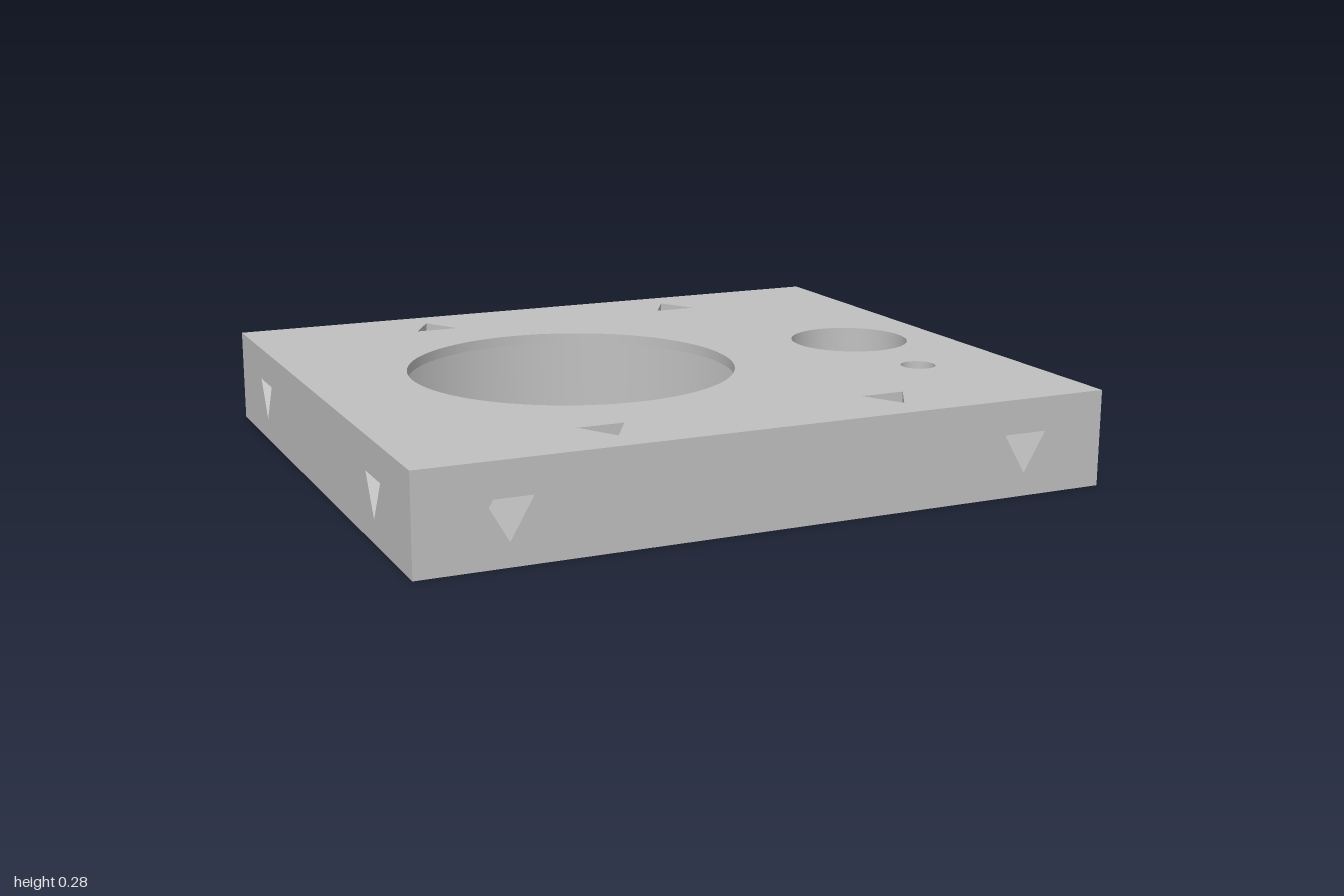
import * as THREE from 'three';

const W = 2, D = 1.76, H = 0.275;
const LIP = 0.03, POCKET = 0.2;
const BORE = { x: -0.23, r: 0.478, wide: 0.6 };

const grey = new THREE.MeshStandardMaterial({ color: 0xc0c0c0 });
grey.name = 'plain grey';

// Holes are regular polygons in a panel's own xy plane; turn 0 puts a corner at the bottom.
const round = (x, y, r, depth) => ({ x, y, r, n: 96, turn: 0, depth });
const triangle = (x, y, depth, turn = 0) => ({ x, y, r: 0.0755, n: 3, turn, depth });

function outline(h, Kind) {
  const points = [];
  for (let k = 0; k < h.n; k++) {
    const a = h.turn + (2 * Math.PI * k) / h.n;
    points.push(new THREE.Vector2(h.x + h.r * Math.sin(a), h.y - h.r * Math.cos(a)));
  }
  return new Kind(points);
}

// Inward-facing wall of a hole, running from the panel towards -z
function wall(h) {
  let g = new THREE.CylinderGeometry(h.r, h.r, h.depth, h.n, 1, true, h.turn);
  g.rotateX(Math.PI / 2).translate(h.x, h.y, -h.depth / 2);
  const index = g.index.array;
  for (let i = 0; i < index.length; i += 3) {
    [index[i], index[i + 1]] = [index[i + 1], index[i]];
  }
  const normals = g.attributes.normal.array;
  for (let i = 0; i < normals.length; i++) normals[i] *= -1;
  if (h.n === 3) {
    g = g.toNonIndexed();
    g.computeVertexNormals();
  }
  return g;
}

function add(parent, name, geometry) {
  const mesh = new THREE.Mesh(geometry, grey);
  mesh.name = name;
  parent.add(mesh);
  return mesh;
}

// Rectangular panel with cut-outs, their walls and, for blind pockets, floors
function panel(name, w, h, holes, blind = false) {
  const group = new THREE.Group();
  group.name = name;
  const shape = new THREE.Shape([[-1, -1], [1, -1], [1, 1], [-1, 1]]
    .map(([x, y]) => new THREE.Vector2((x * w) / 2, (y * h) / 2)));
  shape.holes = holes.map((hole) => outline(hole, THREE.Path));
  add(group, name + 'Face', new THREE.ShapeGeometry(shape));
  for (const hole of holes) {
    if (hole.depth) add(group, name + 'HoleWall', wall(hole));
    if (blind) {
      const floor = new THREE.ShapeGeometry(outline(hole, THREE.Shape));
      add(group, name + 'PocketFloor', floor.translate(0, 0, -hole.depth));
    }
  }
  return group;
}

export function createModel() {
  const model = new THREE.Group();
  model.name = 'perforatedBlock';

  // Holes running right through the block
  const through = [round(0.705, 0, 0.179, H), round(0.705, -0.4, 0.051, H)];
  for (const x of [-0.42, 0.42]) {
    through.push(triangle(x, -0.708, H), triangle(x, 0.708, H, Math.PI));
  }

  const top = panel('top', W, D, [round(BORE.x, 0, BORE.r, LIP), ...through]);
  top.rotation.x = -Math.PI / 2;
  top.position.y = H;
  model.add(top);

  // Underside repeats the holes mirrored, with the wider bore
  const mirrored = through.map((h) => ({ ...h, y: -h.y, turn: Math.PI - h.turn, depth: 0 }));
  const bottom = panel('bottom', W, D, [round(BORE.x, 0, BORE.wide, 0), ...mirrored]);
  bottom.rotation.x = Math.PI / 2;
  model.add(bottom);

  // Wide bore below the thin lip
  const bore = add(model, 'wideBoreWall', wall(round(BORE.x, 0, BORE.wide, H - LIP)));
  bore.rotation.x = -Math.PI / 2;
  bore.position.y = H - LIP;
  const ledge = add(model, 'lipUnderside', new THREE.RingGeometry(BORE.r, BORE.wide, 96));
  ledge.rotation.x = Math.PI / 2;
  ledge.position.set(BORE.x, H - LIP, 0);

  // Four sides, each with a pair of blind triangular pockets
  ['front', 'left', 'back', 'right'].forEach((name, i) => {
    const [w, out, px] = i % 2 ? [D, W / 2, 0.567] : [W, D / 2, 0.75];
    const side = panel(name, w, H, [triangle(-px, 0.003, POCKET), triangle(px, 0.003, POCKET)], true);
    const a = (i * Math.PI) / 2;
    side.rotation.y = a;
    side.position.set(out * Math.sin(a), H / 2, out * Math.cos(a));
    model.add(side);
  });

  return model;
}
